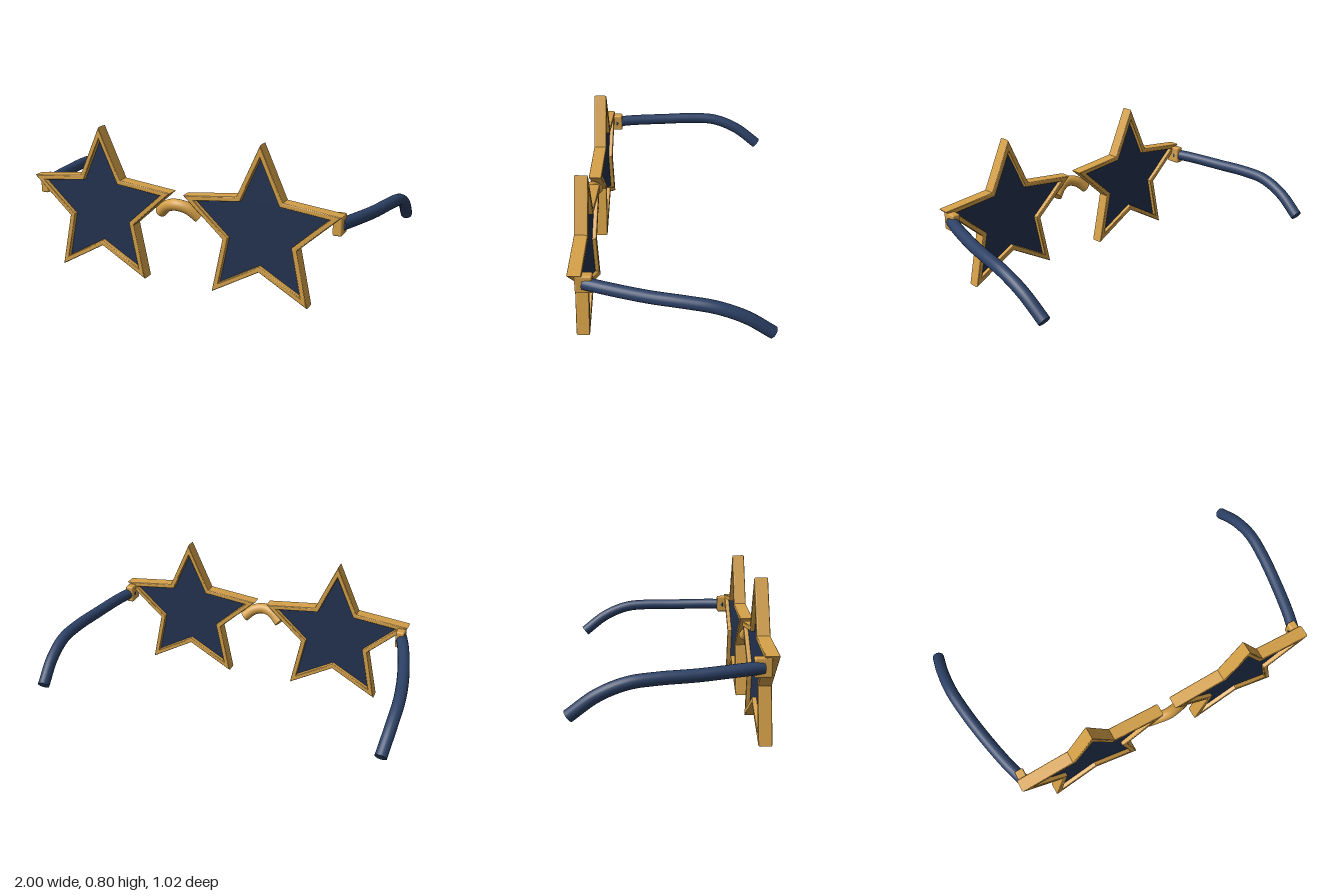
import * as THREE from 'three';
import { RoundedBoxGeometry } from 'three/addons/geometries/RoundedBoxGeometry.js';

const gold = new THREE.MeshStandardMaterial({ color: 0xd4a048 });
const navy = new THREE.MeshStandardMaterial({ color: 0x2c4166 });
const lensNavy = new THREE.MeshStandardMaterial({ color: 0x22324f });

const STAR_X = 0.457, STAR_Y = 0.358, STAR_Z = 0.455;

function starPoints(scale) {
  return Array.from({ length: 10 }, (_, i) => {
    const r = (i % 2 ? 0.21 : 0.442) * scale;
    const a = Math.PI / 2 + (i * Math.PI) / 5;
    return new THREE.Vector2(r * Math.cos(a), r * Math.sin(a));
  });
}

function add(parent, name, geometry, material) {
  const mesh = new THREE.Mesh(geometry, material);
  mesh.name = name;
  parent.add(mesh);
  return mesh;
}

// Round tube along a smooth curve, closed by a flat disc at each end
function cappedTube(name, points, radius, material) {
  const group = new THREE.Group();
  group.name = name;
  const curve = new THREE.CatmullRomCurve3(points.map((p) => new THREE.Vector3(...p)));
  add(group, name + 'Tube', new THREE.TubeGeometry(curve, 40, radius, 20), material);
  for (const t of [0, 1]) {
    const cap = add(group, name + 'Cap', new THREE.CircleGeometry(radius, 20), material);
    const outward = curve.getTangentAt(t).multiplyScalar(t ? 1 : -1);
    cap.position.copy(curve.getPointAt(t));
    cap.quaternion.setFromUnitVectors(new THREE.Vector3(0, 0, 1), outward);
  }
  return group;
}

export function createModel() {
  const model = new THREE.Group();
  model.name = 'starGlasses';

  for (const [side, s] of [['left', 1], ['right', -1]]) {
    // Star rim with softened edges
    const rim = new THREE.Shape(starPoints(1));
    rim.holes.push(new THREE.Path(starPoints(0.85).reverse()));
    const rimGeometry = new THREE.ExtrudeGeometry(rim, {
      depth: 0.056, bevelThickness: 0.007, bevelSize: 0.006, bevelOffset: -0.006, bevelSegments: 2,
    });
    rimGeometry.translate(0, 0, -0.028);
    add(model, side + 'Rim', rimGeometry, gold).position.set(s * STAR_X, STAR_Y, STAR_Z);

    // Dark lens set inside the rim
    const lensGeometry = new THREE.ExtrudeGeometry(new THREE.Shape(starPoints(0.88)), {
      depth: 0.024, bevelEnabled: false,
    });
    lensGeometry.translate(0, 0, -0.012);
    add(model, side + 'Lens', lensGeometry, lensNavy).position.set(s * STAR_X, STAR_Y, STAR_Z);

    // Hinge block behind the outer tip
    add(model, side + 'Hinge', new RoundedBoxGeometry(0.047, 0.098, 0.086, 2, 0.009), gold)
      .position.set(s * 0.844, 0.437, 0.414);

    // Temple arm, bowing outward and curving down over the ear
    model.add(cappedTube(side + 'Arm', [
      [s * 0.847, 0.435, 0.415],
      [s * 0.881, 0.431, 0.3],
      [s * 0.925, 0.421, 0.1],
      [s * 0.954, 0.416, -0.08],
      [s * 0.967, 0.4, -0.22],
      [s * 0.963, 0.342, -0.36],
      [s * 0.949, 0.243, -0.492],
    ], 0.032, navy));
  }

  // Arched nose bridge
  model.add(cappedTube('bridge', [
    [-0.112, 0.379, 0.452],
    [-0.06, 0.423, 0.472],
    [0, 0.438, 0.483],
    [0.06, 0.423, 0.472],
    [0.112, 0.379, 0.452],
  ], 0.031, gold));

  return model;
}
